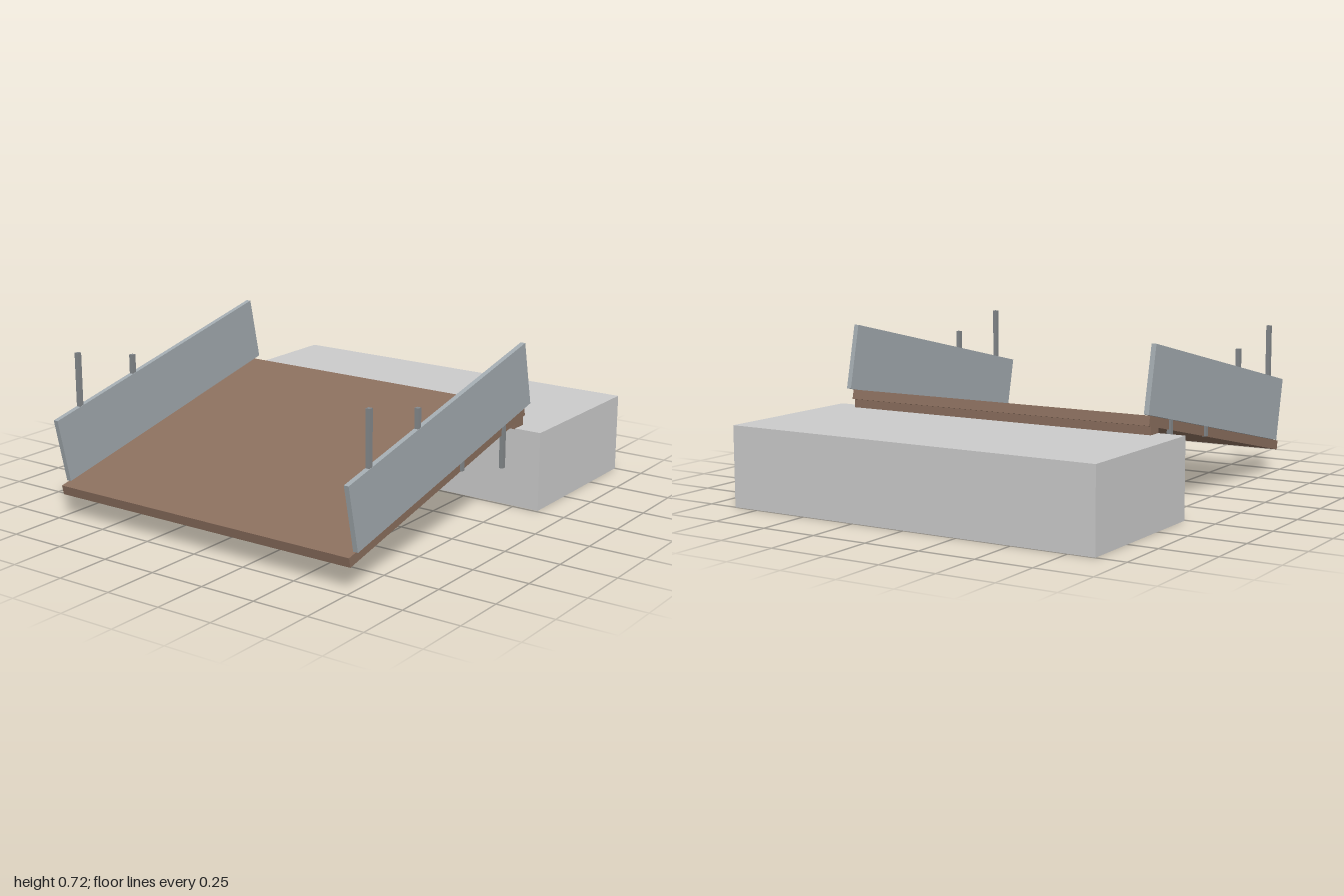
import * as THREE from 'three';

export function createModel() {
  const model = new THREE.Group();
  const mat = (color) => new THREE.MeshStandardMaterial({ color });
  const stone = mat(0xcccccc);
  const wood = mat(0x8b6f5e);
  const steel = mat(0xa3abb0);
  const postSteel = mat(0x85898c);

  function box(name, size, pos, material, parent = model) {
    const mesh = new THREE.Mesh(new THREE.BoxGeometry(...size), material);
    mesh.name = name;
    mesh.position.set(...pos);
    parent.add(mesh);
    return mesh;
  }

  // Landing block at the back
  box('landingBlock', [1.735, 0.35, 0.74], [0, 0.175, -0.63], stone);

  // Sloping deck, rising toward the block
  const slope = THREE.MathUtils.degToRad(12.5);
  box('deck', [1.49, 0.042, 1.345], [0, 0.265, 0.318], wood).rotation.x = slope;

  // Beam carrying the upper end of the deck
  box('supportBeam', [1.49, 0.05, 0.07], [0, 0.372, -0.292], wood);

  // Side panels with a row of upright posts each
  for (const side of [1, -1]) {
    const group = new THREE.Group();
    group.name = side > 0 ? 'leftSide' : 'rightSide';
    group.position.x = side * 0.745;
    model.add(group);

    box('sidePanel', [0.022, 0.287, 1.336], [0, 0.435, 0.315], steel, group).rotation.x = slope;

    for (let i = 0; i < 4; i++) {
      box('post', [0.019, 0.27, 0.02], [0, 0.56 - 0.075 * i, 0.85 - 0.335 * i], postSteel, group);
    }
  }
  return model;
}
